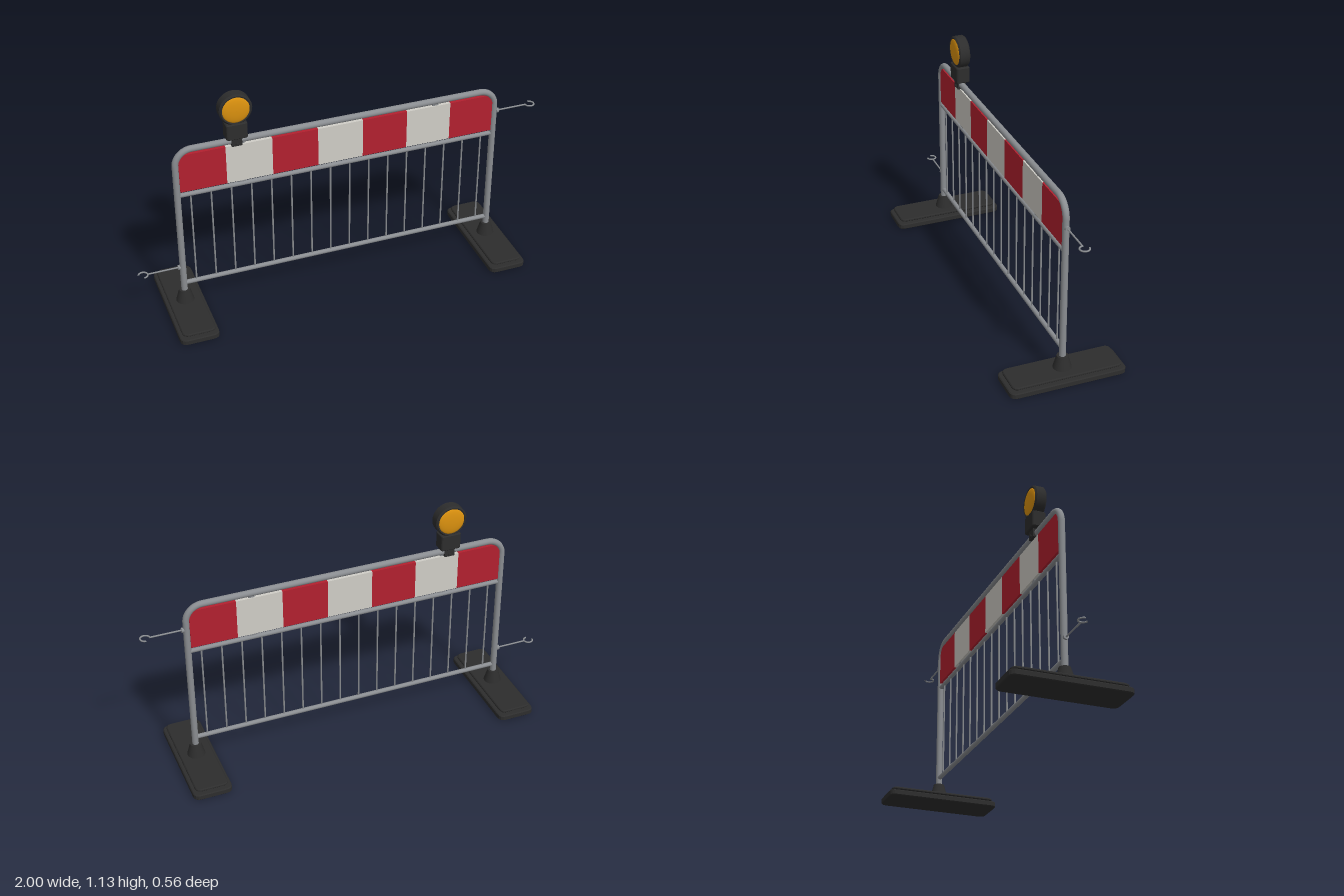
import * as THREE from 'three';
import { toCreasedNormals } from 'three/addons/utils/BufferGeometryUtils.js';

const material = (name, color) => new THREE.MeshStandardMaterial({ name, color });

export function createModel() {
  const steel = material('galvanised steel', 0x8a8d91);
  const red = material('signal red', 0xb3202f);
  const white = material('panel white', 0xd0cec7);
  const rubber = material('black rubber', 0x2d2d2d);
  const amber = material('amber lens', 0xdc920f);

  const model = new THREE.Group();
  model.name = 'crowdBarrier';

  function add(name, geometry, mat, x = 0, y = 0, z = 0, parent = model) {
    const mesh = new THREE.Mesh(geometry, mat);
    mesh.name = name;
    mesh.position.set(x, y, z);
    parent.add(mesh);
    return mesh;
  }
  const rod = (r, length, sides = 16) => new THREE.CylinderGeometry(r, r, length, sides);
  const rodX = (r, length, sides) => rod(r, length, sides).rotateZ(Math.PI / 2);
  const rodZ = (r, length, sides) => rod(r, length, sides).rotateX(Math.PI / 2);

  // Flat slab with chamfered or rounded plan corners and a small bevel
  function slab(w, d, h, corner) {
    const b = 0.004, x = w / 2 - b, z = d / 2 - b;
    const s = new THREE.Shape();
    s.moveTo(-x + corner, -z);
    s.lineTo(x - corner, -z).quadraticCurveTo(x, -z, x, -z + corner);
    s.lineTo(x, z - corner).quadraticCurveTo(x, z, x - corner, z);
    s.lineTo(-x + corner, z).quadraticCurveTo(-x, z, -x, z - corner);
    s.lineTo(-x, -z + corner).quadraticCurveTo(-x, -z, -x + corner, -z);
    const g = new THREE.ExtrudeGeometry(s, {
      depth: h - 2 * b, bevelSize: b, bevelThickness: b, bevelSegments: 1, curveSegments: 4,
    });
    return g.translate(0, 0, b).rotateX(-Math.PI / 2);
  }

  // Outer tube frame with bent upper corners
  const postX = 0.784, topY = 0.88, bend = 0.08, tube = 0.0155;
  for (const side of [-1, 1]) {
    const label = side > 0 ? 'left' : 'right';
    add(label + 'Post', rod(tube, topY - bend - 0.03), steel, side * postX, (topY - bend + 0.03) / 2);
    const corner = new THREE.TorusGeometry(bend, tube, 16, 12, Math.PI / 2);
    if (side < 0) corner.rotateZ(Math.PI / 2);
    add(label + 'Bend', corner, steel, side * (postX - bend), topY - bend);

    // Foot: two stacked plates and a conical socket
    const foot = new THREE.Group();
    foot.name = label + 'Foot';
    foot.position.x = side * postX;
    model.add(foot);
    add('basePlate', slab(0.187, 0.556, 0.028, 0.03), rubber, 0, 0, 0, foot);
    add('spacer', rod(0.036, 0.016), rubber, 0, 0.031, 0, foot);
    add('upperPlate', slab(0.158, 0.524, 0.014, 0.025), rubber, 0, 0.034, 0, foot);
    add('socket', new THREE.CylinderGeometry(0.026, 0.044, 0.064, 24), rubber, 0, 0.077, 0, foot);

    // Coupling hook: stem from the post, then a three-quarter ring
    const hook = new THREE.Group();
    hook.name = label + 'Hook';
    hook.position.y = side > 0 ? 0.762 : 0.24;
    model.add(hook);
    add('stem', rodX(0.004, 0.166, 8), steel, side * 0.871, 0, 0, hook);
    add('collar', rodX(0.012, 0.012, 12), steel, side * 0.802, 0, 0, hook);
    const ring = new THREE.TorusGeometry(0.022, 0.004, 8, 20, Math.PI * 1.5)
      .rotateX(Math.PI / 2).rotateY(Math.PI / 2);
    if (side < 0) ring.rotateY(Math.PI / 2);
    add('ring', ring, steel, side * 0.974, 0, 0, hook);
  }
  add('topRail', rodX(tube, 2 * (postX - bend)), steel, 0, topY);
  add('middleRail', rodX(0.011, 2 * postX), steel, 0, 0.641);
  add('bottomRail', rodX(0.011, 2 * postX), steel, 0, 0.146);

  // Vertical infill bars
  for (let i = 0; i < 16; i++) {
    add('bar', rod(0.0042, 0.495, 8), steel, -0.722 + i * 0.0963, 0.393);
  }

  // Striped warning board with rounded outer top corners
  const half = 0.77, low = 0.662, high = 0.857, thick = 0.018;
  const edges = [-half, -0.55, -0.33, -0.11, 0.11, 0.33, 0.55, half];
  for (let i = 0; i < 7; i++) {
    const a = edges[i], b = edges[i + 1];
    const ra = i === 0 ? 0.03 : 0, rb = i === 6 ? 0.03 : 0;
    const s = new THREE.Shape();
    s.moveTo(a, low);
    s.lineTo(b, low);
    s.lineTo(b, high - rb);
    if (rb) s.quadraticCurveTo(b, high, b - rb, high);
    s.lineTo(a + ra, high);
    if (ra) s.quadraticCurveTo(a, high, a, high - ra);
    s.closePath();
    const g = new THREE.ExtrudeGeometry(s, { depth: thick, bevelEnabled: false, curveSegments: 5 });
    add('boardStripe', g, i % 2 ? white : red, 0, 0, -thick / 2);
  }
  for (const x of [-0.475, 0.475]) {
    add('upperBoardTab', new THREE.BoxGeometry(0.03, 0.02, 0.008), steel, x, 0.862);
    add('lowerBoardTab', new THREE.BoxGeometry(0.03, 0.02, 0.008), steel, x, 0.656);
  }

  // Warning lamp clamped on the top rail
  const lamp = new THREE.Group();
  lamp.name = 'warningLamp';
  lamp.position.x = -0.498;
  model.add(lamp);
  add('clamp', new THREE.BoxGeometry(0.048, 0.05, 0.042), rubber, 0, 0.884, 0, lamp);
  add('clampBolt', rodZ(0.007, 0.056, 8), rubber, 0, 0.87, 0, lamp);
  add('batteryBox', slab(0.1, 0.068, 0.08, 0.008), rubber, 0, 0.9, 0, lamp);

  const v = (r, y) => new THREE.Vector2(r, y);
  const housing = new THREE.LatheGeometry([
    v(0.064, 0), v(0.064, -0.026), v(0.07, -0.028), v(0.077, -0.021),
    v(0.077, 0.021), v(0.07, 0.028), v(0.064, 0.026), v(0.064, 0),
  ], 40);
  add('housing', toCreasedNormals(housing.rotateX(Math.PI / 2), 0.5), rubber, 0, 1.049, 0, lamp);

  // Domed lenses with fine concentric ridges
  const profile = [];
  for (let i = 0; i <= 24; i++) {
    const t = i / 24;
    const ridge = i % 2 && i < 24 ? 0.001 : 0;
    profile.push(v(0.066 * (1 - t), 0.022 + 0.013 * Math.sqrt(1 - (1 - t) ** 2) + ridge));
  }
  for (const side of [1, -1]) {
    const lens = new THREE.LatheGeometry(profile, 40).rotateX(side * Math.PI / 2);
    add(side > 0 ? 'frontLens' : 'backLens', lens, amber, 0, 1.049, 0, lamp);
  }
  return model;
}
